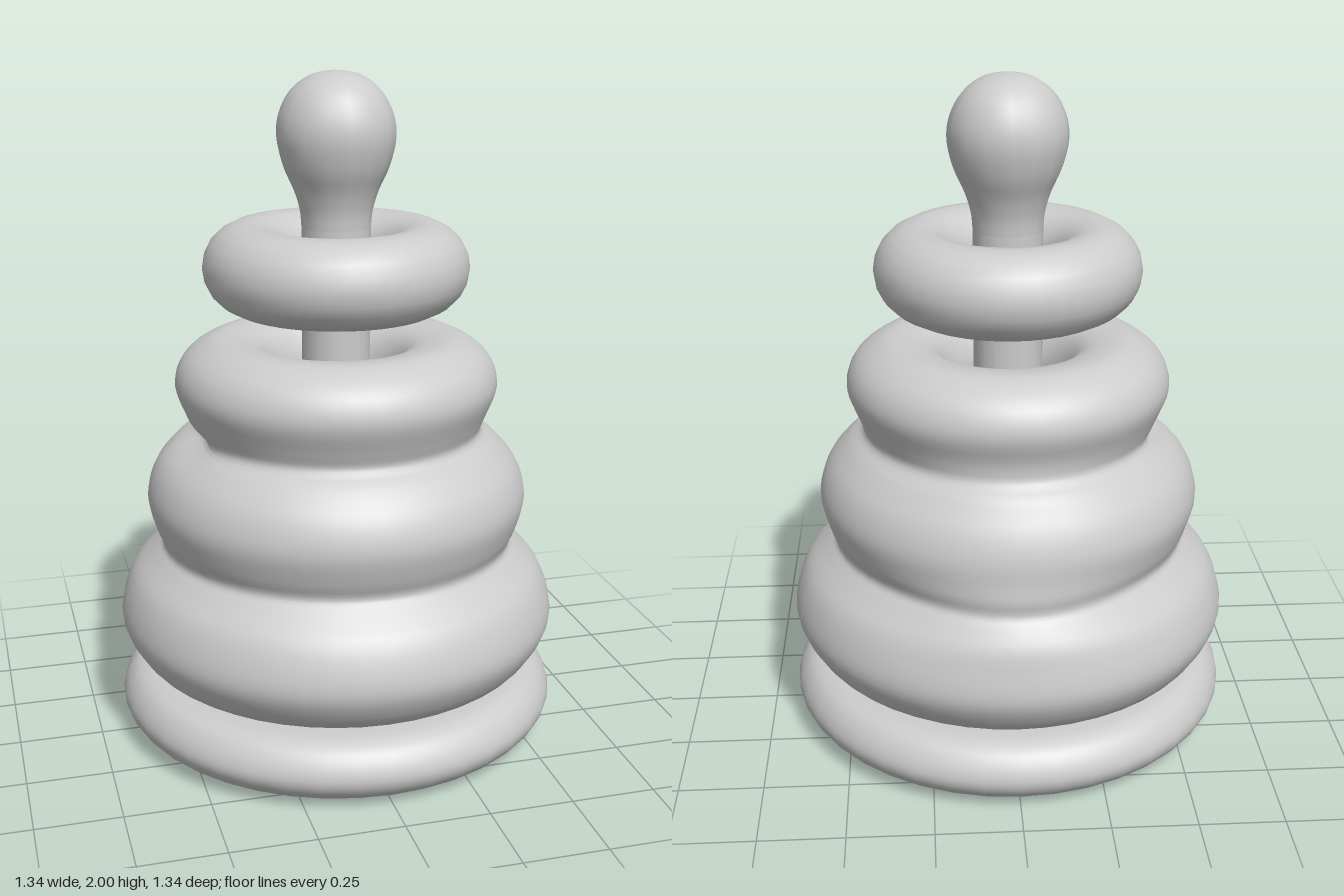
import * as THREE from 'three';
import { mergeVertices } from 'three/addons/utils/BufferGeometryUtils.js';

const material = new THREE.MeshStandardMaterial({ color: 0xcccccc });
material.name = 'plain grey';

// Smooth turned shape from a few [radius, height] points
function turned(name, points, samples, sides) {
  const curve = new THREE.SplineCurve(points.map(([r, y]) => new THREE.Vector2(r, y)));
  const profile = curve.getPoints(samples).map((p) => new THREE.Vector2(Math.max(0, p.x), p.y));
  const mesh = new THREE.Mesh(new THREE.LatheGeometry(profile, sides), material);
  mesh.name = name;
  return mesh;
}

// Soft dents and fills in the waists between the fused rings
const dents = [
  { angle: Math.PI, y: 0.59, spread: 0.5, height: 0.09, amount: 0.05 },
  { angle: Math.PI, y: 0.93, spread: 0.6, height: 0.05, amount: 0.025 },
  { angle: -Math.PI / 2, y: 0.925, spread: 0.3, height: 0.03, amount: -0.045 },
];

function soften(mesh) {
  const g = mesh.geometry;
  const pos = g.attributes.position;
  for (let i = 0; i < pos.count; i++) {
    const x = pos.getX(i), y = pos.getY(i), z = pos.getZ(i);
    const r = Math.hypot(x, z);
    if (r < 0.36) continue;
    let grow = 0;
    for (const d of dents) {
      const turn = Math.acos(Math.cos(Math.atan2(x, z) - d.angle));
      grow += d.amount * Math.exp(-((turn / d.spread) ** 2) - ((y - d.y) / d.height) ** 2);
    }
    pos.setX(i, x * (1 + grow / r));
    pos.setZ(i, z * (1 + grow / r));
  }
  g.deleteAttribute('uv');
  g.deleteAttribute('normal');
  mesh.geometry = mergeVertices(g, 1e-4);
  mesh.geometry.computeVertexNormals();
}

export function createModel() {
  const model = new THREE.Group();
  model.name = 'stackingRings';

  // Flat-bottomed base disc
  const base = turned('base', [
    [0, 0], [0.3, 0], [0.54, 0.003], [0.61, 0.018], [0.655, 0.055], [0.672, 0.1],
    [0.655, 0.15], [0.615, 0.187], [0.54, 0.2], [0.3, 0.2], [0, 0.2],
  ], 50, 40);
  model.add(base);

  // Three lower rings melted into one body around an open core
  const lowerRings = turned('lowerRings', [
    [0.3, 0.38], [0.35, 0.25], [0.475, 0.207], [0.58, 0.225], [0.645, 0.3], [0.667, 0.38],
    [0.632, 0.49], [0.565, 0.56], [0.535, 0.595], [0.555, 0.65], [0.576, 0.74], [0.55, 0.83],
    [0.49, 0.9], [0.44, 0.94], [0.452, 0.99], [0.484, 1.08], [0.462, 1.155], [0.4, 1.205],
    [0.325, 1.222], [0.22, 1.19], [0.17, 1.08], [0.19, 0.95], [0.22, 0.74], [0.26, 0.56],
    [0.3, 0.38],
  ], 96, 48);
  soften(lowerRings);
  model.add(lowerRings);

  // Loose top ring
  const topRing = new THREE.Mesh(new THREE.TorusGeometry(0.265, 0.13, 20, 40), material);
  topRing.name = 'topRing';
  topRing.rotation.x = Math.PI / 2;
  topRing.position.y = 1.432;
  model.add(topRing);

  // Peg with its rounded knob
  const peg = new THREE.Mesh(new THREE.CylinderGeometry(0.103, 0.103, 1.36, 16, 1, true), material);
  peg.name = 'peg';
  peg.position.y = 0.87;
  model.add(peg);
  model.add(turned('knob', [
    [0.103, 1.55], [0.108, 1.6], [0.126, 1.66], [0.157, 1.73], [0.175, 1.81],
    [0.166, 1.88], [0.13, 1.945], [0.07, 1.987], [0, 2],
  ], 32, 16));

  return model;
}
